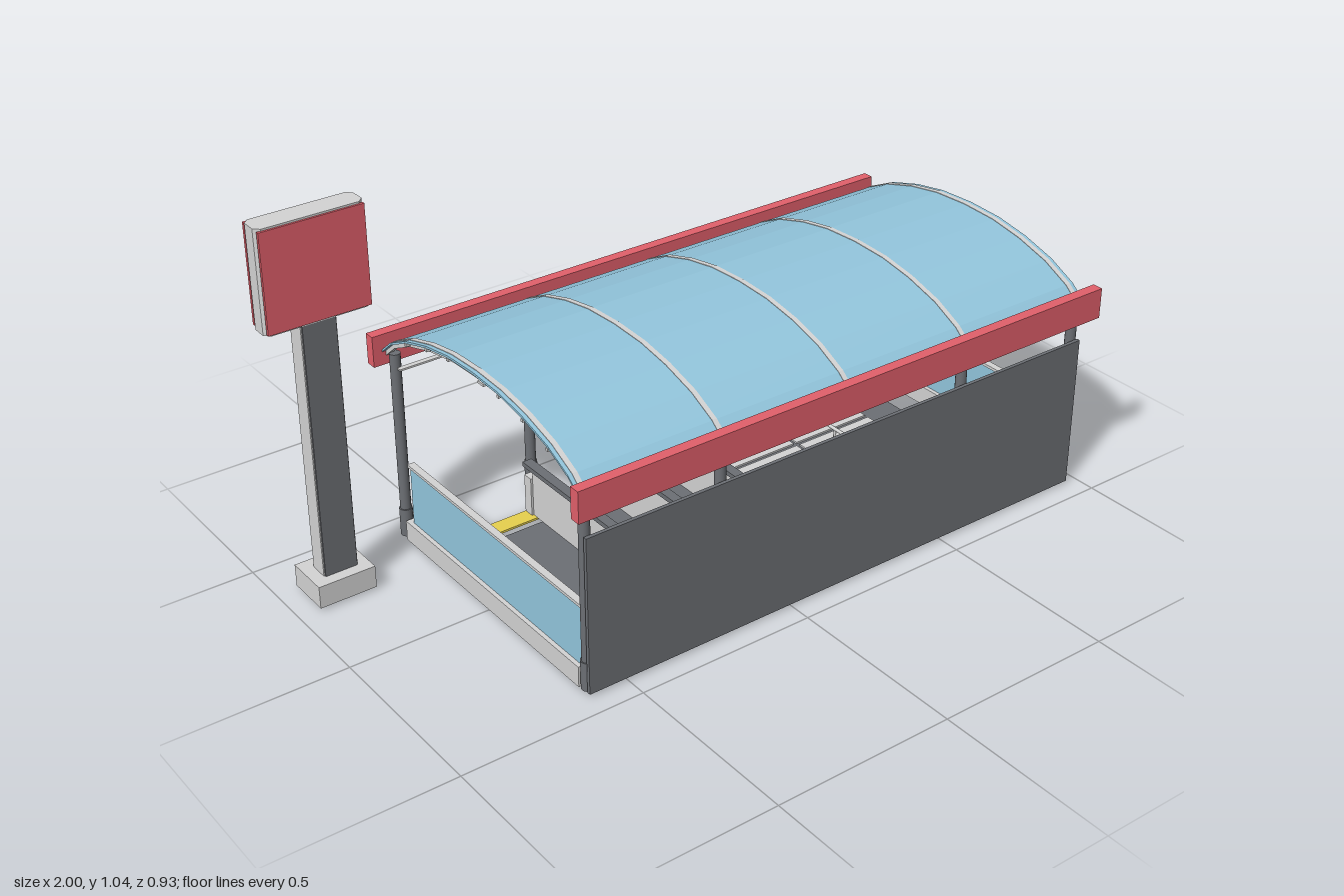
import * as THREE from 'three';

const mat = (name, color) => {
  const m = new THREE.MeshStandardMaterial({ color });
  m.name = name;
  return m;
};

export function createModel() {
  const root = new THREE.Group();
  root.name = 'stationEntrance';
  const red = mat('red', 0xe2606b);
  const gray = mat('lightGray', 0xd4d4d4);
  const dark = mat('darkGray', 0x6c6f74);
  const glass = mat('glassBlue', 0x93c6dd);
  const yellow = mat('yellow', 0xe8d14e);

  const add = (name, geo, m, x = 0, y = 0, z = 0, parent = root) => {
    const mesh = new THREE.Mesh(geo, m);
    mesh.name = name;
    mesh.position.set(x, y, z);
    parent.add(mesh);
    return mesh;
  };
  // box given by its limits on each axis
  const box = (name, m, x0, x1, y0, y1, z0, z1, parent = root) =>
    add(name, new THREE.BoxGeometry(x1 - x0, y1 - y0, z1 - z0), m,
      (x0 + x1) / 2, (y0 + y1) / 2, (z0 + z1) / 2, parent);
  const group = (name) => {
    const g = new THREE.Group();
    g.name = name;
    root.add(g);
    return g;
  };

  // Arched roof: half profile (z, y), mirrored to a full arch
  const half = [[0.435, 0.548], [0.39, 0.586], [0.31, 0.625], [0.21, 0.654], [0.11, 0.671]];
  const arch = [...half, [0, 0.676], ...half.map(([z, y]) => [-z, y]).reverse()];
  const archGeo = (x0, x1, top, bottom) => {
    const s = new THREE.Shape();
    arch.forEach(([z, y], i) => (i ? s.lineTo(-z, y + top) : s.moveTo(-z, y + top)));
    [...arch].reverse().forEach(([z, y]) => s.lineTo(-z, y + bottom));
    s.closePath();
    return new THREE.ExtrudeGeometry(s, { depth: x1 - x0, bevelEnabled: false })
      .rotateY(Math.PI / 2).translate(x0, 0, 0);
  };
  const roof = group('roof');
  add('roofGlass', archGeo(-0.62, 0.97, 0, -0.006), glass, 0, 0, 0, roof);
  for (const x of [-0.602, -0.21, 0.175, 0.56, 0.952])
    add('roofRib', archGeo(x - 0.007, x + 0.007, 0.0015, -0.019), gray, 0, 0, 0, roof);
  for (const [z, y] of [[0.31, 0.615], [0.21, 0.644], [0.11, 0.661]])
    for (const s of [-1, 1])
      box('purlin', gray, -0.622, 0.972, y - 0.004, y + 0.004, s * z - 0.004, s * z + 0.004, roof);
  box('ceilingLight', gray, -0.6, 0.95, 0.635, 0.642, -0.012, 0.012, roof);
  box('edgeLight', gray, -0.6, 0.95, 0.501, 0.506, -0.4, -0.385, roof);

  // Red fascia beams along both long edges
  for (const s of [-1, 1])
    box('fasciaBeam', red, -0.645, 1, 0.505, 0.59, s * 0.45 - 0.015, s * 0.45 + 0.015);

  // Columns with a slightly thicker foot
  const shaft = new THREE.CylinderGeometry(0.0145, 0.0145, 0.535, 16);
  const foot = new THREE.CylinderGeometry(0.0175, 0.0175, 0.08, 16);
  for (const x of [-0.597, -0.21, 0.56, 0.953])
    for (const z of [-0.412, 0.414]) {
      add('column', shaft, dark, x, 0.275, z);
      add('columnFoot', foot, dark, x, 0.048, z);
    }

  // Solid front wall
  box('frontWall', dark, -0.61, 0.962, 0.008, 0.44, 0.43, 0.44);

  // Low side walls: curb, glass and top rail
  for (const x of [-0.597, 0.95]) {
    const g = group('sideWall');
    box('curb', gray, x - 0.017, x + 0.017, 0.008, 0.065, -0.385, 0.4, g);
    box('sideGlass', glass, x - 0.005, x + 0.005, 0.065, 0.232, -0.365, 0.41, g);
    box('sideRail', gray, x - 0.01, x + 0.01, 0.232, 0.24, -0.37, 0.41, g);
  }

  // Floor plate and warning strip
  box('floor', dark, -0.54, 0.86, 0.006, 0.012, -0.24, 0.43);
  box('warningStrip', yellow, -0.47, 0.8, 0.007, 0.013, -0.31, -0.262);

  // Stair treads, split by a central handrail
  const stairs = group('stairs');
  for (let i = 0; i < 6; i++) {
    const z = 0.235 - i * 0.083;
    box('tread', gray, 0.25, 0.487, 0, 0.017, z - 0.035, z + 0.035, stairs);
    box('tread', gray, 0.498, 0.75, 0, 0.017, z - 0.035, z + 0.035, stairs);
  }
  for (const z of [-0.18, 0.02, 0.25])
    add('handrailPost', new THREE.CylinderGeometry(0.004, 0.004, 0.13, 8), gray, 0.492, 0.075, z, stairs);
  add('handrail', new THREE.CylinderGeometry(0.005, 0.005, 0.46, 8).rotateX(Math.PI / 2),
    gray, 0.492, 0.14, 0.035, stairs);

  // Escalators: balustrades with dark handrails, and step plates between them
  const escalators = group('escalators');
  for (const x of [0.12, -0.08, -0.28]) {
    box('balustrade', gray, x - 0.01, x + 0.01, 0.012, 0.145, -0.28, 0.31, escalators);
    box('balustradeEnd', gray, x - 0.016, x + 0.016, 0.008, 0.125, -0.31, -0.28, escalators);
    box('escalatorHandrail', dark, x - 0.014, x + 0.014, 0.145, 0.158, -0.32, 0.315, escalators);
  }
  for (const x of [0.02, -0.18])
    for (const z of [0.09, 0.17, 0.25])
      box('escalatorStep', gray, x - 0.075, x + 0.075, 0.005, 0.016, z - 0.033, z + 0.033, escalators);

  // Free-standing sign: base, clad post and a chamfered head with red faces
  const sign = group('sign');
  const zc = -0.308;
  box('signBase', gray, -0.943, -0.785, 0.008, 0.07, zc - 0.063, zc + 0.063, sign);
  box('signPost', gray, -0.909, -0.814, 0.07, 0.78, zc - 0.026, zc + 0.026, sign);
  for (const s of [-1, 1])
    box('postCladding', dark, -0.906, -0.817, 0.07, 0.77,
      zc + s * 0.028 - 0.003, zc + s * 0.028 + 0.003, sign);
  const head = new THREE.Shape();
  const w = 0.14, d = 0.033, c = 0.014;
  [[w, -d + c], [w, d - c], [w - c, d], [c - w, d], [-w, d - c], [-w, c - d], [c - w, -d], [w - c, -d]]
    .forEach(([x, y], i) => (i ? head.lineTo(x, y) : head.moveTo(x, y)));
  head.closePath();
  add('signHead', new THREE.ExtrudeGeometry(head, { depth: 0.272, bevelEnabled: false }).rotateX(-Math.PI / 2),
    gray, -0.86, 0.77, zc, sign);
  for (const s of [-1, 1])
    box('signFace', red, -0.996, -0.724, 0.775, 1.037,
      zc + s * 0.0345 - 0.004, zc + s * 0.0345 + 0.004, sign);

  return root;
}
